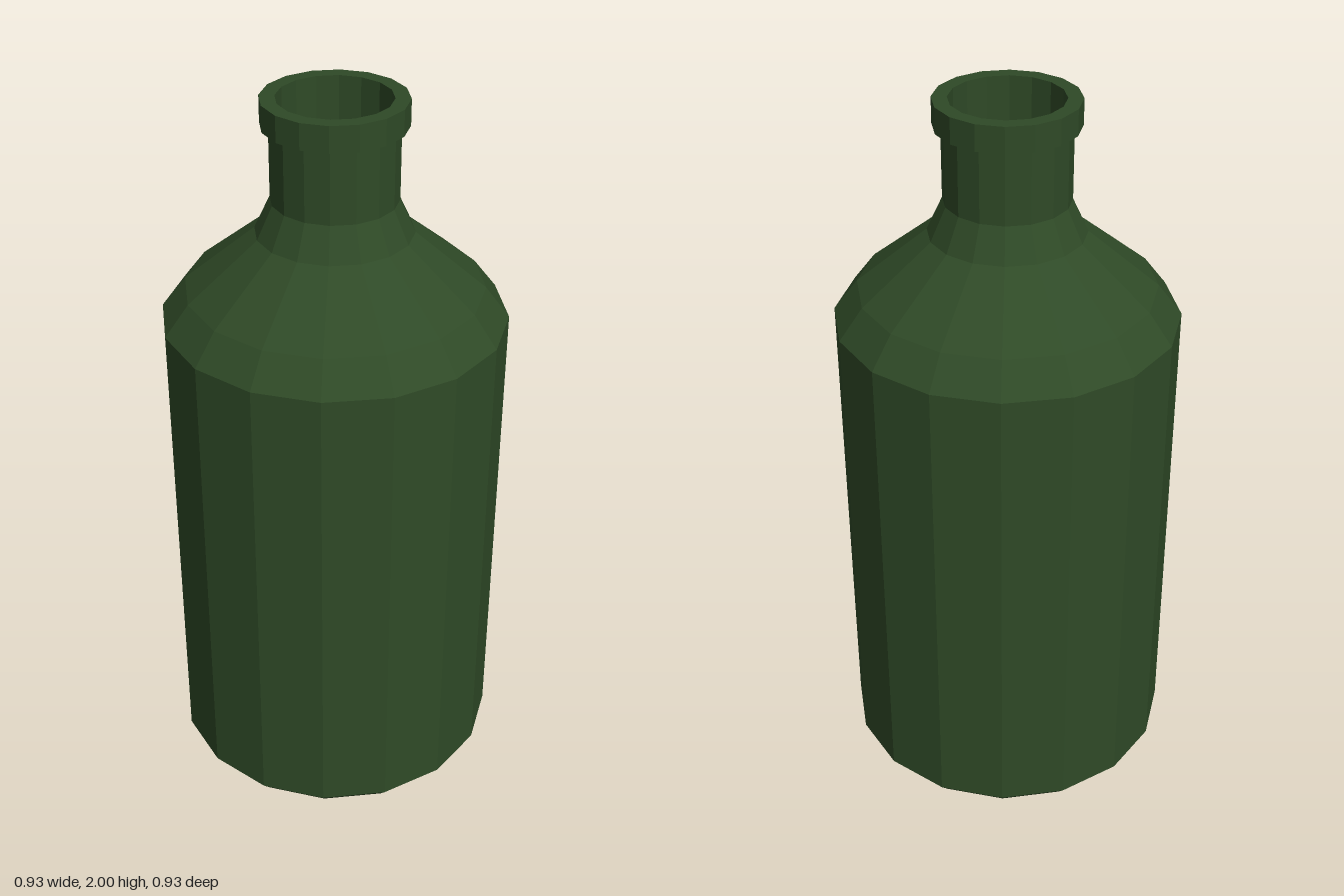
import * as THREE from 'three';

const SIDES = 16;

export function createModel() {
  const model = new THREE.Group();
  model.name = 'bottle';
  const glass = new THREE.MeshStandardMaterial({ color: 0x2f4a27, flatShading: true });

  // Revolves a profile of [radius, height] pairs
  const addLathe = (name, profile) => {
    const points = profile.map(([r, y]) => new THREE.Vector2(r, y));
    const mesh = new THREE.Mesh(new THREE.LatheGeometry(points, SIDES), glass);
    mesh.name = name;
    model.add(mesh);
  };

  // Base with bevelled foot and straight wall
  addLathe('body', [[0, 0], [0.43, 0], [0.465, 0.04], [0.465, 1.4]]);

  // Sloping shoulder
  addLathe('shoulder', [[0.465, 1.4], [0.4, 1.485], [0.21, 1.64], [0.168, 1.73]]);

  // Straight neck
  addLathe('neck', [[0.168, 1.73], [0.168, 1.93]]);

  // Lip around the mouth
  addLathe('lip', [[0.168, 1.93], [0.19, 1.93], [0.19, 2], [0.15, 2]]);

  // Hollow inside, running down from the mouth to the floor
  addLathe('innerWall', [
    [0.15, 2], [0.15, 1.72], [0.19, 1.63], [0.385, 1.47],
    [0.445, 1.39], [0.445, 0.05], [0.42, 0.025], [0, 0.025],
  ]);

  return model;
}
